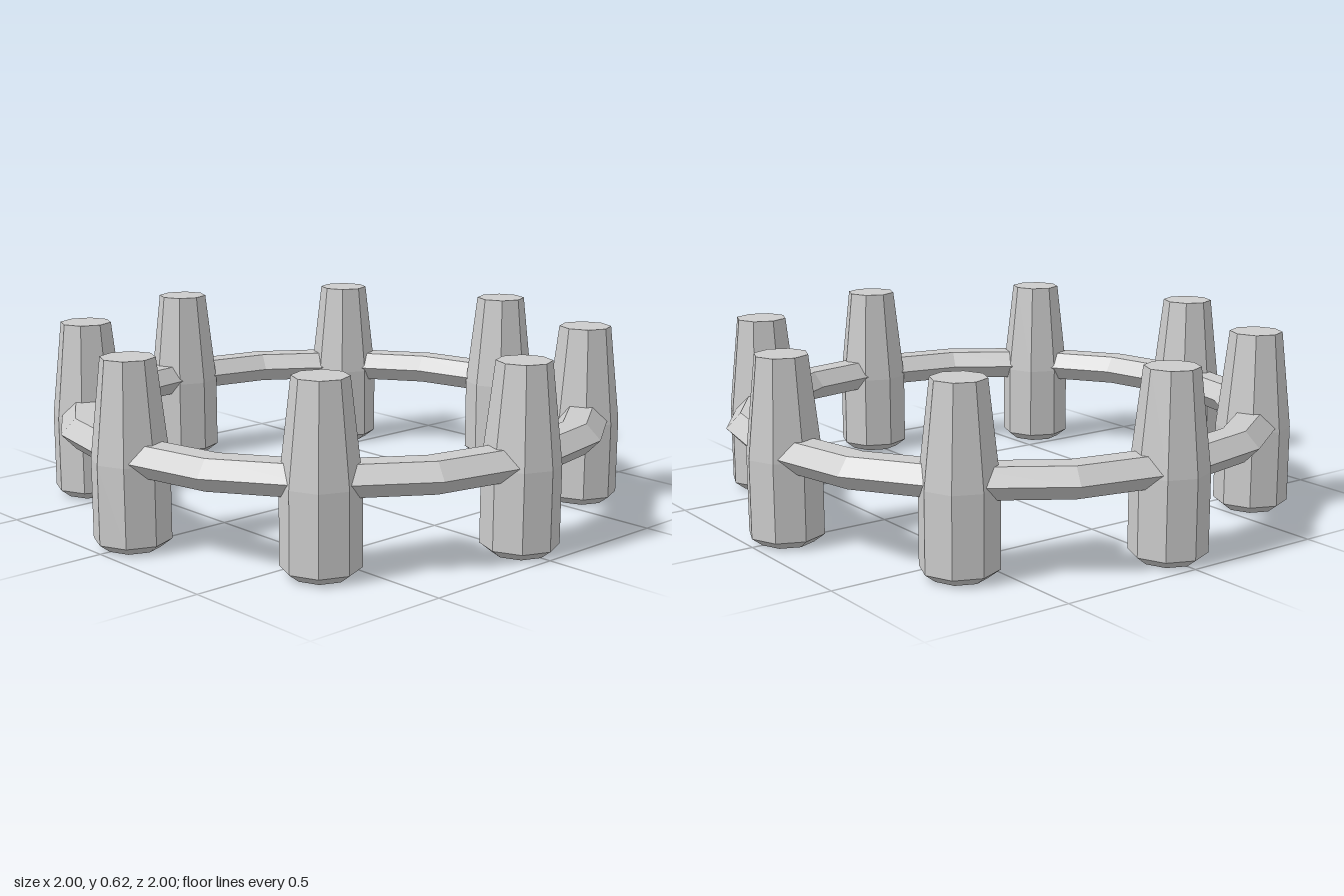
import * as THREE from 'three';

const material = new THREE.MeshStandardMaterial({ color: 0xcccccc, flatShading: true });
const points = (list) => list.map(([r, y]) => new THREE.Vector2(r, y));

export function createModel() {
  const group = new THREE.Group();
  group.name = 'postRing';

  // Octagonal posts: chamfered foot, straight base, tapering top
  const postProfile = points([[0, 0], [0.09, 0], [0.127, 0.028], [0.127, 0.29], [0.089, 0.62], [0, 0.62]]);
  const postGeometry = new THREE.LatheGeometry(postProfile, 8);
  const postCount = 8;
  const postDistance = 0.873;
  for (let i = 0; i < postCount; i++) {
    const angle = (i / postCount) * Math.PI * 2;
    const post = new THREE.Mesh(postGeometry, material);
    post.name = `post${i + 1}`;
    post.position.set(Math.sin(angle) * postDistance, 0, Math.cos(angle) * postDistance);
    group.add(post);
  }

  // Sixteen-sided rail with a flattened hexagonal section, running through every post
  const railProfile = points([
    [0.967, 0.303], [0.917, 0.355], [0.838, 0.355],
    [0.795, 0.303], [0.838, 0.251], [0.917, 0.251], [0.967, 0.303],
  ]);
  const rail = new THREE.Mesh(new THREE.LatheGeometry(railProfile, 16), material);
  rail.name = 'rail';
  group.add(rail);

  return group;
}
